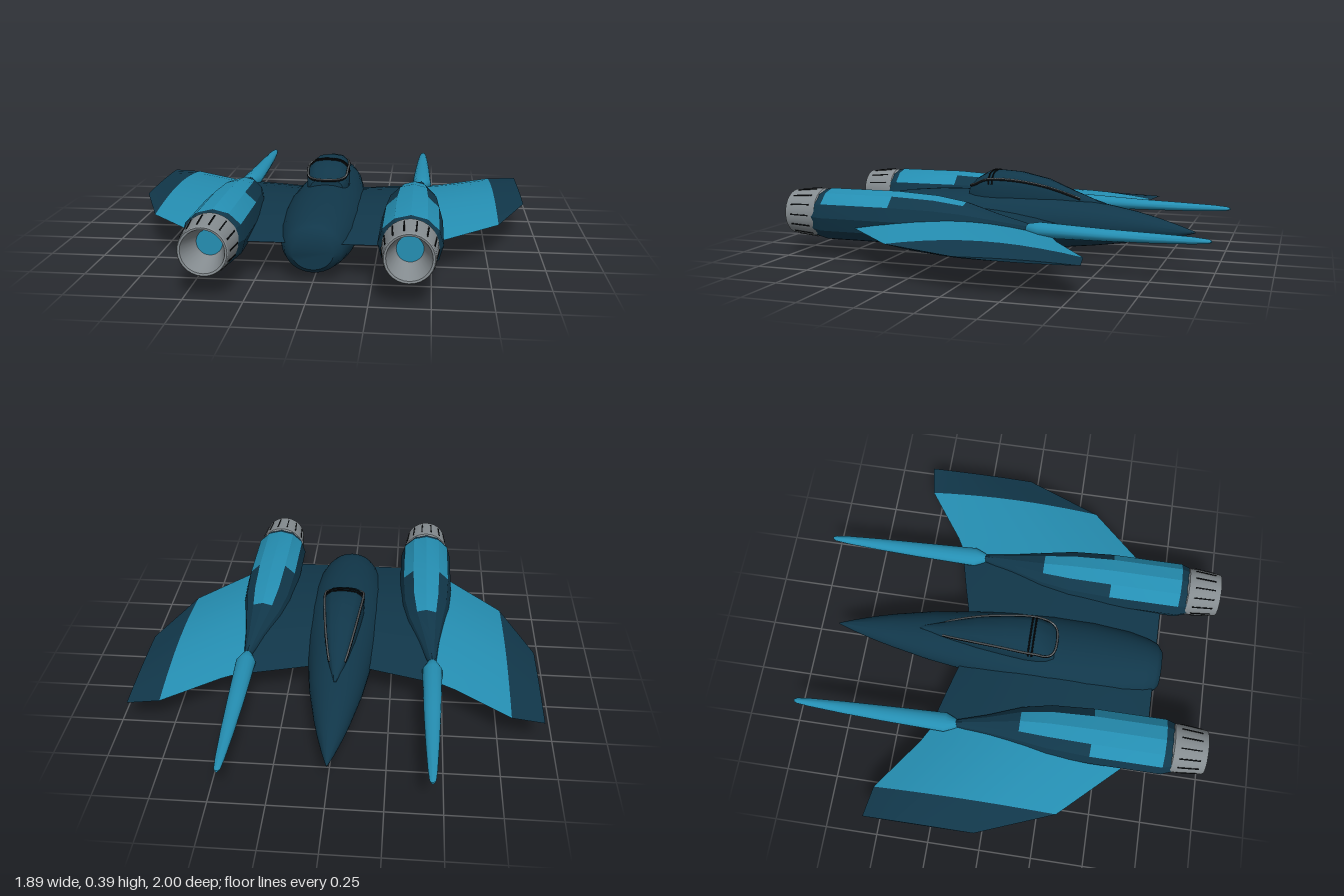
import * as THREE from 'three';
import { toCreasedNormals } from 'three/addons/utils/BufferGeometryUtils.js';

const mat = (name, color) => Object.assign(new THREE.MeshStandardMaterial({ color }), { name });

// Skin a list of closed loops; pick(i, j) gives the material index of each quad
function loft(loops, crease, pick = () => 0) {
  const n = loops[0].length, pos = loops.flat(2), buckets = [[], []];
  for (let i = 0; i < loops.length - 1; i++) {
    for (let j = 0; j < n; j++) {
      const k = (j + 1) % n, a = i * n + j, b = i * n + k, c = a + n, d = b + n;
      buckets[pick(i, j)].push(a, b, d, a, d, c);
    }
  }
  const last = (loops.length - 1) * n;
  for (let j = 1; j < n - 1; j++) {
    buckets[0].push(0, j + 1, j, last, last + j, last + j + 1);
  }
  const g = new THREE.BufferGeometry();
  g.setAttribute('position', new THREE.Float32BufferAttribute(pos, 3));
  g.setIndex(buckets.flat());
  g.addGroup(0, buckets[0].length, 0);
  if (buckets[1].length) g.addGroup(buckets[0].length, buckets[1].length, 1);
  return toCreasedNormals(g, crease);
}

// Elliptical loop in the xy plane at depth z
function ring(z, cx, cy, rx, ry, n) {
  return Array.from({ length: n }, (_, j) => {
    const a = (j / n) * Math.PI * 2;
    return [cx + rx * Math.cos(a), cy + ry * Math.sin(a), z];
  });
}

// Lens-shaped wing section at x, between leading and trailing edge
function wingSection([x, lead, trail, y, half]) {
  const n = 10, loop = [];
  for (let j = 0; j < 2 * n; j++) {
    const upper = j < n, u = upper ? j / n : 2 - j / n;
    const t = half * Math.pow(Math.sin(Math.PI * u), 0.9) || 0;
    loop.push([x, y + (upper ? t : -t), lead + (trail - lead) * u]);
  }
  return loop;
}

export function createModel() {
  const dark = mat('dark hull', 0x11374a);
  const teal = mat('teal paint', 0x258fb3);
  const grey = mat('nozzle metal', 0x858c90);
  const black = mat('black trim', 0x0b0e10);
  grey.side = THREE.DoubleSide;

  const model = new THREE.Group();
  model.name = 'spacecraft';
  const add = (parent, name, geometry, material) => {
    const m = new THREE.Mesh(geometry, material);
    m.name = name;
    parent.add(m);
    return m;
  };

  // Fuselage: z, half width, bottom, top
  const hull = [
    [-0.88, 0.003, 0.127, 0.134], [-0.8, 0.03, 0.105, 0.162], [-0.7, 0.059, 0.086, 0.192],
    [-0.6, 0.084, 0.07, 0.217], [-0.4, 0.125, 0.042, 0.255], [-0.2, 0.152, 0.02, 0.278],
    [0, 0.175, 0.006, 0.288], [0.2, 0.19, 0, 0.292], [0.4, 0.186, 0.006, 0.288],
    [0.58, 0.165, 0.017, 0.272], [0.68, 0.142, 0.028, 0.255], [0.73, 0.122, 0.037, 0.24],
    [0.755, 0.09, 0.058, 0.21],
  ];
  add(model, 'fuselage', loft(hull.map(([z, w, b, t]) =>
    ring(z, 0, (b + t) / 2, w, (t - b) / 2, 32)), 0.7), dark);

  // Canopy: z, half width, top
  const canopy = [
    [-0.45, 0.008, 0.25], [-0.39, 0.024, 0.268], [-0.29, 0.048, 0.305], [-0.16, 0.072, 0.358],
    [-0.02, 0.09, 0.388], [0.08, 0.1, 0.394], [0.14, 0.1, 0.386], [0.19, 0.094, 0.357],
    [0.225, 0.078, 0.318],
  ];
  const dome = [[0.95, 0], [1, 0.35], [1, 0.68], [0.88, 0.84], [0.6, 0.96], [0, 1]];
  const outline = [...dome, ...dome.slice(0, -1).reverse().map(([x, y]) => [-x, y])];
  add(model, 'canopy', loft(canopy.map(([z, w, t]) =>
    outline.map(([x, y]) => [x * w, 0.2 + (t - 0.2) * y, z])), 0.7), dark);

  // Canopy frame: a thin metal rail with a dark seal
  const rail = canopy.slice(2, 8).map(([z, w, t]) => [w * 0.95, 0.2 + (t - 0.2) * 0.8, z]);
  const railPath = new THREE.CatmullRomCurve3([
    [0.035, 0.268, -0.33], ...rail, [0.06, 0.316, 0.222],
    [-0.06, 0.316, 0.222], ...rail.map(([x, y, z]) => [-x, y, z]).reverse(), [-0.035, 0.268, -0.33],
  ].map((p) => new THREE.Vector3(...p)));
  add(model, 'canopySeal', new THREE.TubeGeometry(railPath, 100, 0.006, 6), black);
  const trim = add(model, 'canopyRail', new THREE.TubeGeometry(railPath, 100, 0.004, 6), grey);
  trim.position.y = 0.004;

  // Canopy cross bars
  for (const z of [0.1, 0.118]) {
    const arch = new THREE.CatmullRomCurve3(outline.slice(2, 9).map(([x, y]) =>
      new THREE.Vector3(x * 0.1, 0.2 + 0.191 * y, z)));
    add(model, 'canopyBar', new THREE.TubeGeometry(arch, 24, 0.004, 6), black);
  }

  function buildSide(name) {
    const side = new THREE.Group();
    side.name = name;

    // Wing sections: x, leading z, trailing z, height, half thickness
    const wing = (part, sections, material) =>
      add(side, part, loft(sections.map(wingSection), 0.6), material);
    wing('wingRoot', [[0, -0.195, 0.725, 0.165, 0.06], [0.28, -0.272, 0.725, 0.165, 0.06],
      [0.43, -0.31, 0.715, 0.163, 0.058]], dark);
    wing('wingPanel', [[0.43, -0.29, 0.715, 0.163, 0.058], [0.55, -0.356, 0.605, 0.16, 0.053],
      [0.8, -0.535, 0.34, 0.155, 0.04]], teal);
    wing('wingTip', [[0.8, -0.535, 0.34, 0.155, 0.04], [0.945, -0.56, -0.03, 0.155, 0.006]], dark);

    // Engine nacelle: twelve-sided, with painted upper facets
    const nacelle = [
      [-0.21, 0.445, 0.19, 0.015, 0.02], [-0.05, 0.43, 0.195, 0.05, 0.052],
      [0.11, 0.413, 0.197, 0.095, 0.094], [0.25, 0.41, 0.2, 0.123, 0.113],
      [0.455, 0.41, 0.2, 0.136, 0.125], [0.8, 0.41, 0.2, 0.136, 0.125],
      [0.855, 0.41, 0.2, 0.116, 0.112],
    ];
    const painted = (i, j) => {
      const narrow = (i === 2 || i === 3) && (j === 2 || j === 3);
      const wide = i === 4 && j >= 1 && j <= 4;
      return narrow || wide ? 1 : 0;
    };
    add(side, 'nacelle', loft(nacelle.map((s) => ring(...s, 12)), 0.42, painted), [dark, teal]);

    // Forward spike: z, half width, half height
    const spike = [[-1, 0.006, 0.005], [-0.985, 0.014, 0.01], [-0.92, 0.021, 0.016],
      [-0.75, 0.031, 0.022], [-0.55, 0.039, 0.027], [-0.25, 0.048, 0.035],
      [-0.2, 0.025, 0.026], [-0.17, 0.006, 0.01]];
    add(side, 'spike', loft(spike.map(([z, w, h]) =>
      ring(z, 0.445, 0.18 + Math.max(0, z + 0.6) * 0.02, w, h, 16)), 0.8), teal);

    // Exhaust nozzle with slots and a painted core
    const engine = new THREE.Group();
    engine.name = 'engineNozzle';
    engine.position.set(0.41, 0.205, 0);
    side.add(engine);
    const profile = [[0.1, 0.82], [0.117, 0.84], [0.116, 0.88], [0.105, 0.995], [0.101, 1],
      [0.092, 0.998], [0.055, 0.87]].map((p) => new THREE.Vector2(...p));
    add(engine, 'nozzle', toCreasedNormals(new THREE.LatheGeometry(profile, 28), 0.5), grey)
      .rotation.x = Math.PI / 2;
    add(engine, 'core', new THREE.CircleGeometry(0.056, 24), teal).position.z = 0.872;
    for (let i = 0; i < 14; i++) {
      const holder = new THREE.Group();
      holder.name = 'nozzleSlot';
      holder.rotation.z = ((i + 0.5) / 14) * Math.PI * 2;
      const slot = add(holder, 'slot', new THREE.BoxGeometry(0.006, 0.006, 0.1), black);
      slot.position.set(0, 0.1115, 0.92);
      slot.rotation.x = 0.095;
      engine.add(holder);
    }
    return side;
  }

  const left = buildSide('leftSide');
  const right = buildSide('rightSide');
  right.scale.x = -1;
  model.add(left, right);
  return model;
}
